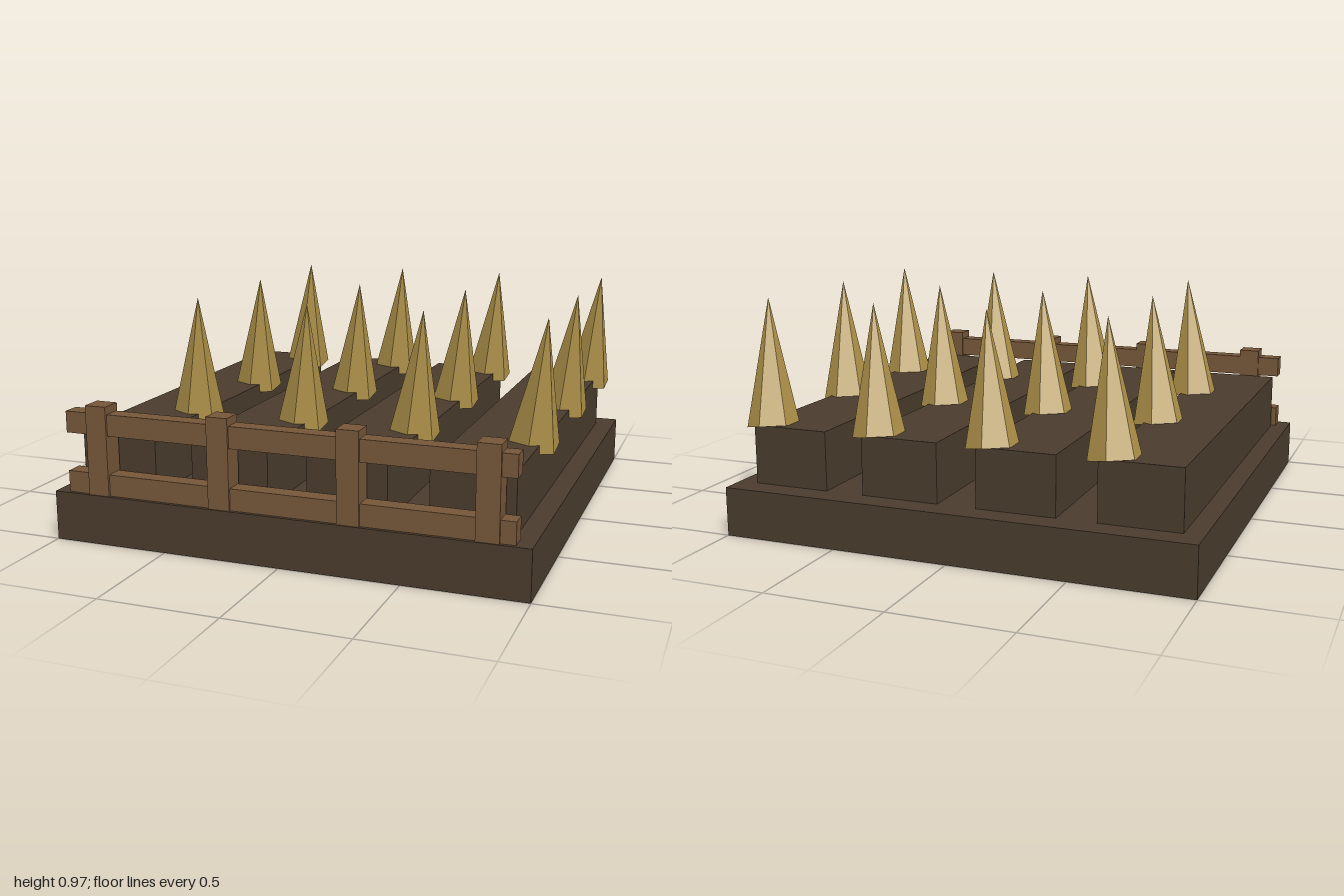
import * as THREE from 'three';

export function createModel() {
  const model = new THREE.Group();
  model.name = 'cropField';

  const material = (name, color) => {
    const m = new THREE.MeshStandardMaterial({ color });
    m.name = name;
    return m;
  };
  const soil = material('soilBrown', 0x4a3c2d);
  const wood = material('fenceBrown', 0x765739);
  const straw = material('strawGold', 0xb0934a);

  // Box given by its lower and upper bounds on each axis
  const box = (name, mat, [x0, x1], [y0, y1], [z0, z1], parent = model) => {
    const mesh = new THREE.Mesh(new THREE.BoxGeometry(x1 - x0, y1 - y0, z1 - z0), mat);
    mesh.position.set((x0 + x1) / 2, (y0 + y1) / 2, (z0 + z1) / 2);
    mesh.name = name;
    parent.add(mesh);
  };

  // Ground slab and four raised furrows
  box('groundSlab', soil, [-1, 1], [0, 0.208], [-1, 1]);
  for (let i = 0; i < 4; i++) {
    const x = -0.752 + i * 0.5;
    box('furrow', soil, [x - 0.167, x + 0.167], [0.208, 0.458], [-0.895, 0.895]);
  }

  // Leaning six-sided crops; each cone runs from its base centre to its tip
  const lean = new THREE.Vector3(0.064, 0.53, 0.097);
  const height = lean.length();
  const cropGeometry = new THREE.ConeGeometry(0.109, height, 6).toNonIndexed();
  cropGeometry.translate(0, height / 2, 0);
  cropGeometry.computeVertexNormals();
  const tilt = new THREE.Quaternion().setFromUnitVectors(
    new THREE.Vector3(0, 1, 0), lean.clone().normalize());
  for (let i = 0; i < 4; i++) {
    for (let j = 0; j < 3; j++) {
      const crop = new THREE.Mesh(cropGeometry, straw);
      crop.name = 'crop';
      crop.position.set(-0.627 + i * 0.5, 0.44, 0.433 - j * 0.625);
      crop.quaternion.copy(tilt);
      model.add(crop);
    }
  }

  // Front fence: four posts and two rails
  const fence = new THREE.Group();
  fence.name = 'fence';
  model.add(fence);
  for (let i = 0; i < 4; i++) {
    const x = -0.795 + i * 0.542;
    box('fencePost', wood, [x - 0.046, x + 0.046], [0.208, 0.583], [0.904, 0.995], fence);
  }
  for (const y of [0.208, 0.46]) {
    box('fenceRail', wood, [-0.94, 0.937], [y, y + 0.09], [0.912, 0.985], fence);
  }

  return model;
}
